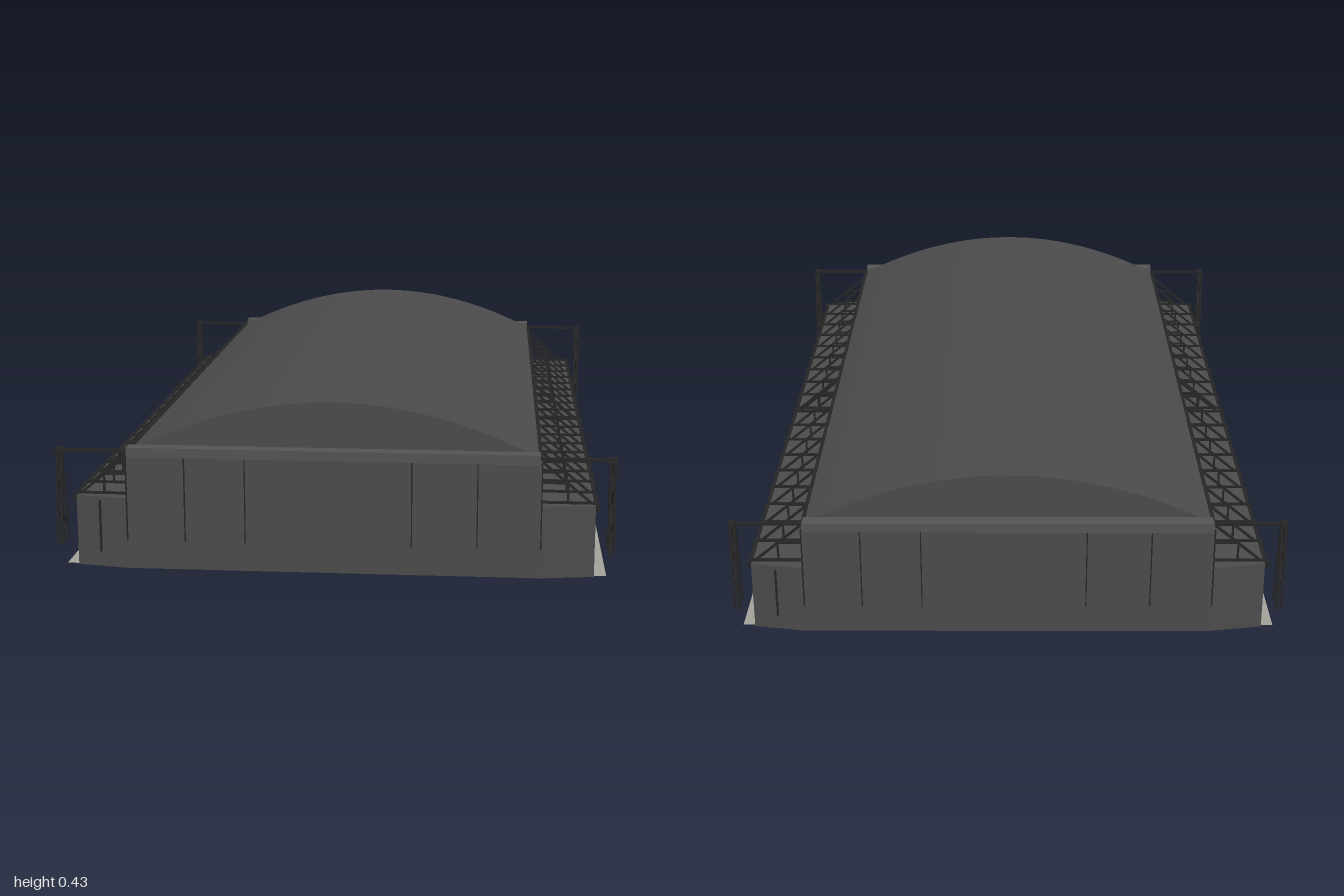
import * as THREE from 'three';

export function createModel() {
  const model = new THREE.Group();
  model.name = 'openSidedHangar';

  const mat = (name, color, side = THREE.FrontSide) => {
    const m = new THREE.MeshStandardMaterial({ color, side });
    m.name = name;
    return m;
  };
  const cladding = mat('greyCladding', 0x4b4b4b);
  const trim = mat('beamGrey', 0x545452);
  const steel = mat('darkSteel', 0x262626);
  const concrete = mat('paleConcrete', 0xa2a29a, THREE.DoubleSide);

  const add = (name, geo, material, parent = model) => {
    const mesh = new THREE.Mesh(geo, material);
    mesh.name = name;
    parent.add(mesh);
    return mesh;
  };

  // Box given by its limits on each axis
  const block = (name, x0, x1, y0, y1, z0, z1, material, parent) => {
    const geo = new THREE.BoxGeometry(Math.abs(x1 - x0), y1 - y0, Math.abs(z1 - z0));
    geo.translate((x0 + x1) / 2, (y0 + y1) / 2, (z0 + z1) / 2);
    return add(name, geo, material, parent);
  };

  // Square steel bar between two points
  const bar = (name, a, b, w, parent) => {
    const p = new THREE.Vector3(...a), q = new THREE.Vector3(...b);
    const mesh = add(name, new THREE.BoxGeometry(w, w, p.distanceTo(q)), steel, parent);
    mesh.position.copy(p).lerp(q, 0.5);
    mesh.lookAt(q);
    return mesh;
  };

  // Upright prism from a plan outline of [x, z] points
  const prism = (name, plan, y0, y1, material, parent) => {
    const shape = new THREE.Shape(plan.map(([x, z]) => new THREE.Vector2(x, -z)));
    const geo = new THREE.ExtrudeGeometry(shape, { depth: y1 - y0, bevelEnabled: false });
    geo.rotateX(-Math.PI / 2);
    geo.translate(0, y0, 0);
    return add(name, geo, material, parent);
  };

  // Floor slab, its side tabs and the flat ceiling
  const sheet = (name, w, d, x, y, z) => {
    const geo = new THREE.PlaneGeometry(w, d).rotateX(-Math.PI / 2);
    add(name, geo, concrete).position.set(x, y, z);
  };
  sheet('floor', 1.345, 1.91, 0, 0.001, 0);
  for (const s of [-1, 1]) sheet('floorTab', 0.017, 0.05, s * 0.681, 0.001, 0);
  sheet('ceiling', 1.28, 1.9, 0, 0.168, 0);

  // Vaulted upper storey
  const vault = new THREE.Shape();
  vault.moveTo(-0.505, 0.17);
  vault.lineTo(0.505, 0.17);
  const steps = 24;
  for (let i = 0; i <= steps; i++) {
    const t = 1 - (2 * i) / steps;
    vault.lineTo(0.505 * t, 0.427 - 0.13 * t * t);
  }
  const vaultGeo = new THREE.ExtrudeGeometry(vault, { depth: 1.926, bevelEnabled: false });
  vaultGeo.translate(0, 0, -0.963);
  add('vaultedRoof', vaultGeo, cladding);

  // End walls with tapered wings, fascia beam and sliding doors
  for (const s of [-1, 1]) {
    const end = new THREE.Group();
    end.name = s > 0 ? 'frontEnd' : 'backEnd';
    model.add(end);
    block('endWall', -0.51, 0.51, 0, 0.292, s * 0.952, s * 0.982, cladding, end);
    block('fasciaBeam', -0.505, 0.505, 0.289, 0.313, s * 0.963, s * 1.0, trim, end);
    for (const m of [-1, 1]) {
      prism('wallWing', [[m * 0.5, s * 0.952], [m * 0.642, s * 0.952],
        [m * 0.642, s * 0.96], [m * 0.51, s * 0.982], [m * 0.5, s * 0.982]], 0, 0.18, cladding, end);
    }
    const joints = [-0.51, -0.365, -0.215, 0.195, 0.355, 0.51];
    const depth = [0.003, 0.005, 0.007, 0.005, 0.003];
    depth.forEach((d, i) => {
      block('slidingDoor', s * joints[i], s * joints[i + 1], 0.075, 0.287, s * 0.982, s * (0.982 + d), cladding, end);
    });
    for (const x of joints) {
      block('doorSeam', s * x - 0.0015, s * x + 0.0015, 0.075, 0.289, s * 0.982, s * 0.9895, steel, end);
    }
    block('doorTrack', -0.51, 0.51, 0.287, 0.289, s * 0.982, s * 0.991, steel, end);
    // Hanging ladder
    bar('ladder', [-s * 0.58, 0.04, s * 0.976], [-s * 0.58, 0.172, s * 0.976], 0.005, end);
  }

  // Side canopies with their row of bracing trusses
  for (const s of [-1, 1]) {
    const side = new THREE.Group();
    side.name = s > 0 ? 'leftCanopy' : 'rightCanopy';
    model.add(side);
    block('canopyRoof', s * 0.505, s * 0.643, 0.17, 0.18, -0.952, 0.952, cladding, side);
    block('canopyEdgeBeam', s * 0.64, s * 0.648, 0.168, 0.183, -0.952, 0.952, steel, side);
    block('eaveRail', s * 0.503, s * 0.512, 0.288, 0.3, -0.963, 0.963, steel, side);
    for (const h of [-1, 1]) {
      for (let k = 0; k < 10; k++) {
        const z = h * (0.013 + 0.1035 * k);
        const w = 0.006;
        bar('diagonalStrut', [s * 0.506, 0.288, z], [s * 0.638, 0.178, z], w, side);
        bar('canopyRib', [s * 0.506, 0.183, z], [s * 0.648, 0.183, z], w, side);
        bar('tieBar', [s * 0.506, 0.232, z], [s * 0.575, 0.232, z], 0.005, side);
        bar('kingPost', [s * 0.575, 0.18, z], [s * 0.575, 0.232, z], 0.005, side);
        bar('wallPost', [s * 0.508, 0.18, z], [s * 0.508, 0.29, z], w, side);
        block('ribEnd', s * 0.645, s * 0.654, 0.163, 0.18, z - 0.005, z + 0.005, steel, side);
      }
    }
  }

  // Lattice masts at the four corners
  for (const sx of [-1, 1]) {
    for (const sz of [-1, 1]) {
      const mast = new THREE.Group();
      mast.name = 'cornerMast';
      model.add(mast);
      const leg = (x, t, outer) => [sx * x, 0.3 - 0.238 * t,
        sz * (outer ? 0.969 + 0.014 * t : 0.961 - 0.036 * t)];
      for (const x of [0.675, 0.686]) {
        bar('outerLeg', leg(x, 0, true), leg(x, 1, true), 0.005, mast);
        bar('innerLeg', leg(x, 0, false), leg(x, 1, false), 0.005, mast);
      }
      for (let i = 1; i <= 6; i++) {
        const t = i / 6, odd = i % 2 === 1;
        bar('rung', leg(0.68, t, true), leg(0.68, t, false), 0.004, mast);
        bar('lattice', leg(0.68, t - 1 / 6, odd), leg(0.68, t, !odd), 0.004, mast);
      }
      bar('mastArm', [sx * 0.69, 0.297, sz * 0.967], [sx * 0.5, 0.297, sz * 0.967], 0.008, mast);
      block('mastCap', sx * 0.672, sx * 0.69, 0.292, 0.303, sz * 0.957, sz * 0.978, steel, mast);
    }
  }

  return model;
}
